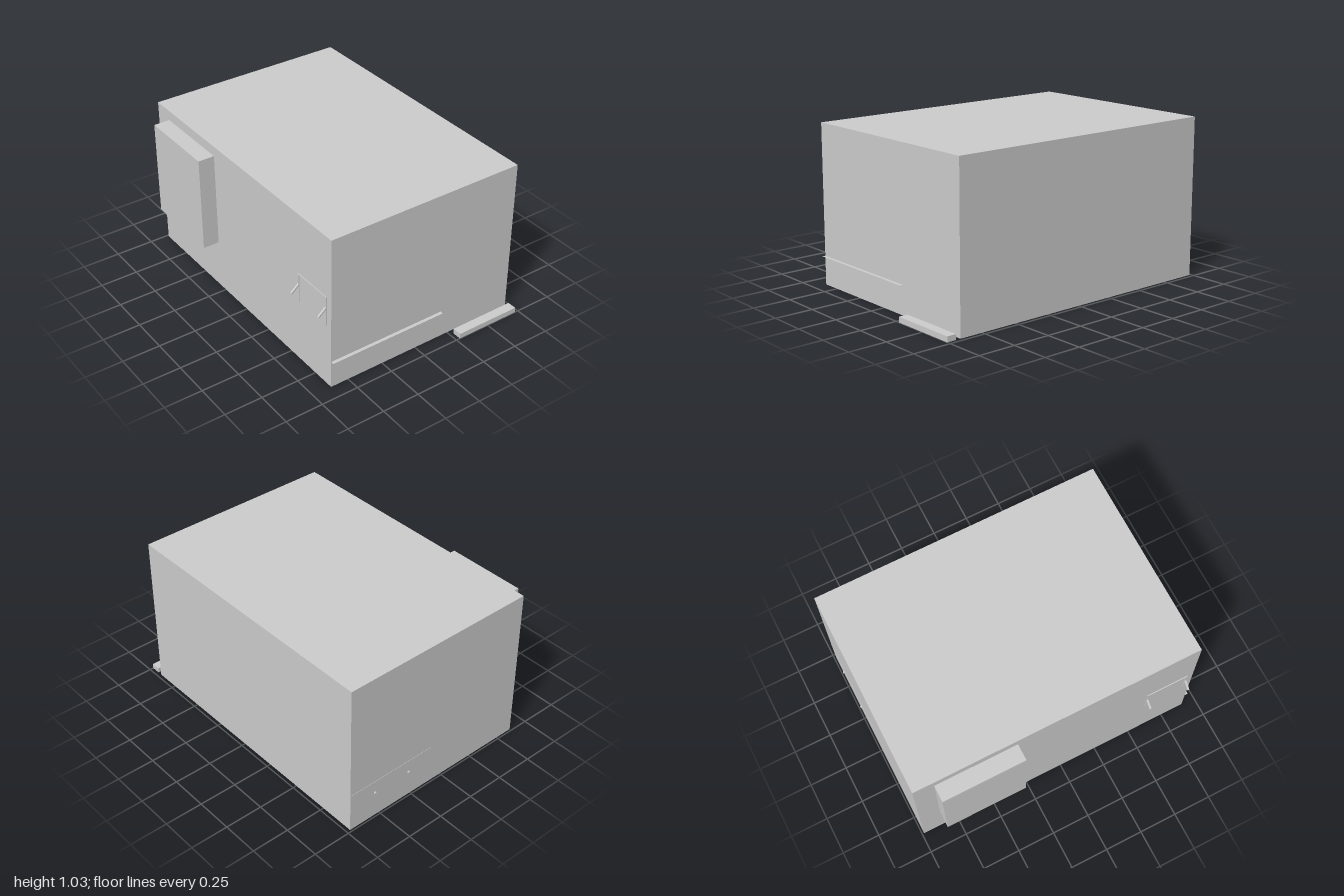
import * as THREE from 'three';

const material = new THREE.MeshStandardMaterial({ color: 0xcccccc, flatShading: true });
const sheetMaterial = new THREE.MeshStandardMaterial({ color: 0xcccccc, side: THREE.DoubleSide });

export function createModel() {
  const model = new THREE.Group();
  model.name = 'cabin';

  // Box given by its lower and upper corners
  const addBox = (name, [x0, y0, z0], [x1, y1, z1], parent = model) => {
    const mesh = new THREE.Mesh(new THREE.BoxGeometry(x1 - x0, y1 - y0, z1 - z0), material);
    mesh.position.set((x0 + x1) / 2, (y0 + y1) / 2, (z0 + z1) / 2);
    mesh.name = name;
    parent.add(mesh);
    return mesh;
  };

  // Horizontal sheet with no thickness
  const addSheet = (name, x0, x1, y, z0, z1) => {
    const mesh = new THREE.Mesh(new THREE.PlaneGeometry(x1 - x0, z1 - z0), sheetMaterial);
    mesh.rotation.x = -Math.PI / 2;
    mesh.position.set((x0 + x1) / 2, y, (z0 + z1) / 2);
    mesh.name = name;
    model.add(mesh);
  };

  // Main enclosure, side cabinet and doorstep
  addBox('body', [-0.622, 0, -0.987], [0.725, 1.035, 0.907]);
  addBox('sideCabinet', [-0.73, 0.333, -0.853], [-0.622, 0.967, -0.312]);
  addBox('doorstep', [0.277, 0, 0.938], [0.725, 0.035, 1]);

  // Thin ledges on the front and back walls
  addSheet('frontLedge', -0.622, 0.19, 0.188, 0.907, 0.929);
  addSheet('backLedge', 0.09, 0.725, 0.268, -0.989, -0.987);

  // Small knobs on the back wall
  for (const x of [0.27, 0.537]) {
    addBox('backKnob', [x - 0.006, 0.176, -0.998], [x + 0.006, 0.188, -0.987]);
  }

  // Wall frame with two sloping arms
  const bracket = new THREE.Group();
  bracket.name = 'wallBracket';
  model.add(bracket);
  addBox('frameTop', [-0.627, 0.618, 0.58], [-0.622, 0.627, 0.865], bracket);
  for (const z of [0.587, 0.858]) {
    addBox('framePost', [-0.627, 0.427, z - 0.006], [-0.622, 0.618, z + 0.006], bracket);
    const arm = addBox('frameArm', [-0.684, 0.523, z - 0.006], [-0.614, 0.535, z + 0.006], bracket);
    arm.rotation.z = 0.73;
  }

  return model;
}
